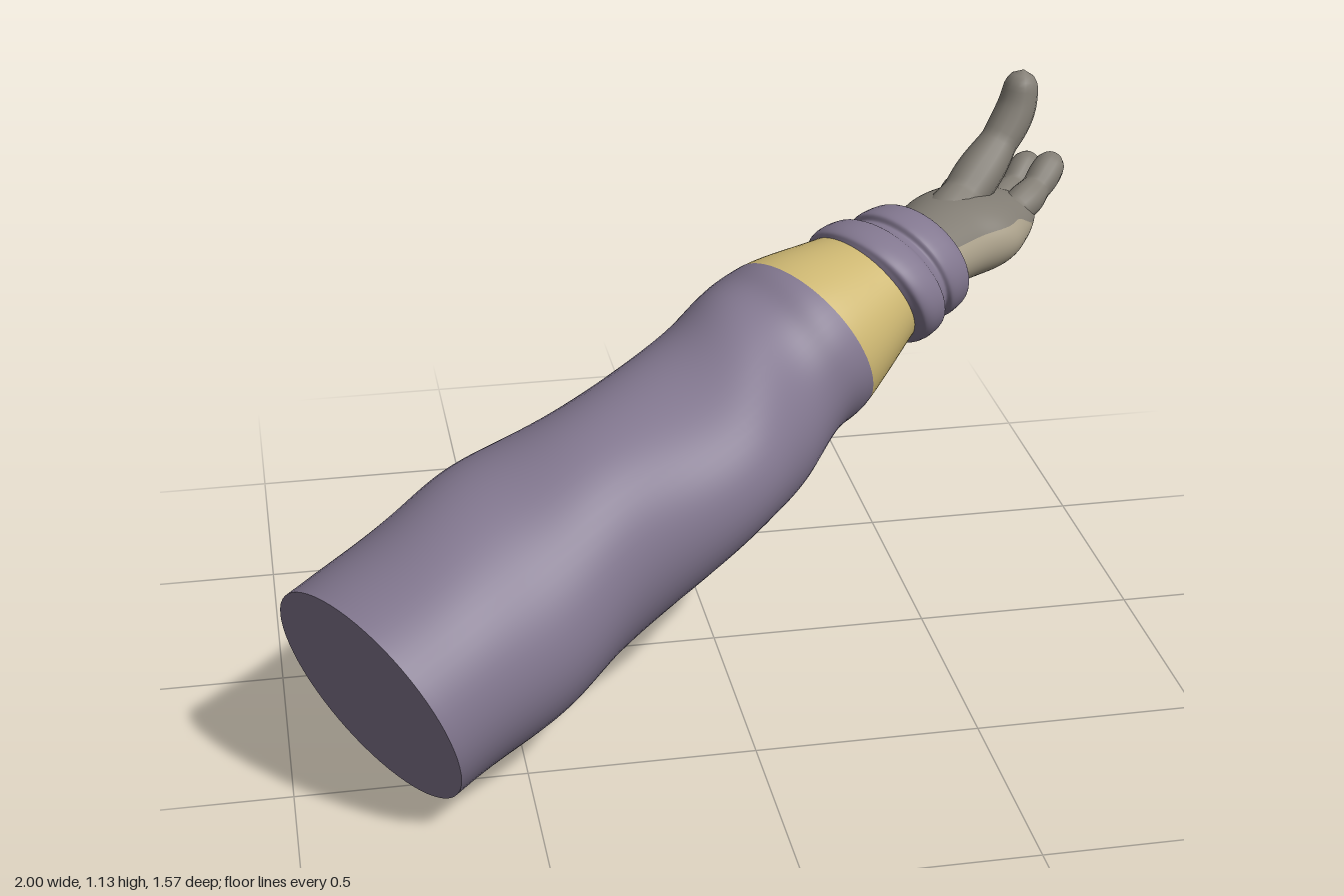
import * as THREE from 'three';
import { mergeVertices } from 'three/addons/utils/BufferGeometryUtils.js';

const V = (x, y, z) => new THREE.Vector3(x, y, z);
const material = (name, color) => {
  const m = new THREE.MeshStandardMaterial({ color });
  m.name = name;
  return m;
};

// Skin through elliptical sections [x, y, z, halfWidth, halfHeight, lean].
// lean slides the top back and the bottom forward along the path;
// t0..t1 picks a stretch of the path, arc(section) an angular range.
function loft(secs, { side, up, t0 = 0, t1 = 1, nu = 40, nv = 48, arc, ripple, grow = 0, capStart, capEnd }) {
  const path = new THREE.CatmullRomCurve3(secs.map(s => V(s[0], s[1], s[2])), false, 'catmullrom', 0.5);
  const size = new THREE.CatmullRomCurve3(secs.map(s => V(s[3], s[4], s[5] ?? 0)), false, 'catmullrom', 0.5);
  const back = side.clone().cross(up);
  const pos = [], idx = [], closed = !arc, cols = closed ? nv : nv + 1;
  const rings = [];
  for (let i = 0; i <= nu; i++) {
    const t = t0 + (t1 - t0) * i / nu;
    const c = path.getPoint(t), r = size.getPoint(t);
    const [a0, a1] = arc ? arc(c, r) : [0, Math.PI * 2];
    const ring = [];
    for (let j = 0; j < cols; j++) {
      const a = a0 + (a1 - a0) * j / nv;
      const d = grow + (ripple ? ripple(t, a) : 0);
      const p = c.clone()
        .addScaledVector(side, Math.cos(a) * (r.x + d))
        .addScaledVector(up, Math.sin(a) * (r.y + d))
        .addScaledVector(back, Math.sin(a) * r.z);
      ring.push(p);
      pos.push(p.x, p.y, p.z);
    }
    rings.push({ c, ring });
  }
  for (let i = 0; i < nu; i++) for (let j = 0; j < nv; j++) {
    const k = (j + 1) % cols, a = i * cols + j, b = i * cols + k;
    idx.push(a, a + cols, b, b, a + cols, b + cols);
  }
  // Flat end discs with their own vertices
  const cap = ({ c, ring }, flip) => {
    const base = pos.length / 3;
    pos.push(c.x, c.y, c.z);
    ring.forEach(p => pos.push(p.x, p.y, p.z));
    for (let j = 0; j < cols; j++) {
      const a = base + 1 + j, b = base + 1 + (j + 1) % cols;
      idx.push(base, flip ? b : a, flip ? a : b);
    }
  };
  if (capStart) cap(rings[0], false);
  if (capEnd) cap(rings[nu], true);
  const g = new THREE.BufferGeometry();
  g.setAttribute('position', new THREE.Float32BufferAttribute(pos, 3));
  g.setIndex(idx);
  g.computeVertexNormals();
  return g;
}

// Tapered digit with swollen joints and a rounded tip
function digit(points, r0, r1) {
  const curve = new THREE.CatmullRomCurve3(points.map(p => V(...p)));
  const n = 36, sides = 14, round = r1 / curve.getLength();
  let g = new THREE.TubeGeometry(curve, n, 1, sides);
  const p = g.attributes.position, v = V(0, 0, 0);
  for (let i = 0; i <= n; i++) {
    const t = i / n, c = curve.getPointAt(t);
    let r = THREE.MathUtils.lerp(r0, r1, t) * (0.92 + 0.13 * Math.abs(Math.cos(t * Math.PI * 2.6)));
    const e = Math.max(0, (t - 1 + round) / round);
    r *= Math.sqrt(Math.max(0.0004, 1 - e * e));
    for (let j = 0; j <= sides; j++) {
      const k = i * (sides + 1) + j;
      v.fromBufferAttribute(p, k).sub(c).multiplyScalar(r).add(c);
      p.setXYZ(k, v.x, v.y, v.z);
    }
  }
  g.deleteAttribute('uv');
  g.deleteAttribute('normal');
  g = mergeVertices(g, 1e-5);
  g.computeVertexNormals();
  return g;
}

export function createModel() {
  const purple = material('purple cloth', 0x82778f);
  const yellow = material('yellow band', 0xcdb772);
  const grey = material('grey glove', 0x827d74);
  const tan = material('tan glove back', 0xaaa08a);
  const model = new THREE.Group();
  model.name = 'arm';
  const add = (name, geometry, mat, parent = model) => {
    const mesh = new THREE.Mesh(geometry, mat);
    mesh.name = name;
    parent.add(mesh);
    return mesh;
  };

  // Sleeve and band share one set of sections
  const armFrame = { side: V(0.525, 0, 0.85), up: V(-0.264, 0.95, 0.163) };
  const arm = [
    [-0.83, 0.247, 0.527, 0.292, 0.259],
    [-0.59, 0.342, 0.388, 0.29, 0.262],
    [-0.35, 0.437, 0.225, 0.285, 0.248],
    [-0.045, 0.545, 0.065, 0.25, 0.218],
    [0.125, 0.625, -0.105, 0.237, 0.21, 0.008],
    [0.235, 0.683, -0.163, 0.222, 0.204, 0.015],
    [0.395, 0.755, -0.245, 0.168, 0.146, 0.015],
  ];
  // Slanting cloth folds, fading out at both ends
  const folds = (t, a) => Math.sin(Math.PI * Math.min(1, t / 0.84)) *
    (0.007 * Math.sin(2 * a + t * 17) + 0.006 * Math.sin(3 * a - t * 26 + 1));
  const band = 5 / 6;
  add('sleeve', loft(arm, { ...armFrame, t1: band, nu: 70, nv: 64, ripple: folds, capStart: true }), purple);
  add('sleeveBand', loft(arm, { ...armFrame, t0: band, nu: 14, nv: 64, ripple: (t, a) => folds(band, a) * (1 - t) * 6 }), yellow);

  // Two rolled cuff rings
  const cuffAt = (f, w, h) => [0.395 + 0.18 * f, 0.757 + 0.03 * f, -0.235 - 0.13 * f, w, h, 0.015 * (1 - f)];
  const cuff = [
    cuffAt(-0.05, 0.15, 0.125), cuffAt(0, 0.168, 0.146), cuffAt(0.05, 0.186, 0.158), cuffAt(0.18, 0.192, 0.162),
    cuffAt(0.36, 0.186, 0.156), cuffAt(0.45, 0.166, 0.14), cuffAt(0.54, 0.156, 0.132), cuffAt(0.6, 0.165, 0.146),
    cuffAt(0.72, 0.166, 0.147), cuffAt(0.88, 0.16, 0.141), cuffAt(0.97, 0.146, 0.126),
    cuffAt(0.99, 0.13, 0.108), cuffAt(0.94, 0.1, 0.085),
  ];
  add('cuff', loft(cuff, { ...armFrame, nu: 72, capEnd: true }), purple);

  // Open hand, palm up: tan shell below the seam, grey above
  const hand = new THREE.Group();
  hand.name = 'hand';
  model.add(hand);
  const handFrame = { side: V(0.77, 0, 0.64), up: V(0, 1, 0) };
  const palm = [
    [0.55, 0.785, -0.33, 0.11, 0.09],
    [0.62, 0.785, -0.41, 0.128, 0.096],
    [0.69, 0.785, -0.48, 0.153, 0.097],
    [0.75, 0.78, -0.56, 0.145, 0.086],
    [0.80, 0.78, -0.62, 0.125, 0.062],
    [0.83, 0.787, -0.655, 0.105, 0.036],
  ];
  // Level seam that drops to the sides of the hand at the knuckles
  const seam = (c, r) => Math.asin(Math.min((0.828 - c.y) / r.y, 0.5)) *
    THREE.MathUtils.smoothstep(c.z, -0.62, -0.5);
  add('palm', loft(palm, { ...handFrame, arc: (c, r) => [seam(c, r), Math.PI - seam(c, r)], capEnd: true }), grey, hand);
  add('backOfHand', loft(palm, { ...handFrame, arc: (c, r) => [-Math.PI - seam(c, r), seam(c, r)], capEnd: true }), tan, hand);
  // Cloth patch on the back of the hand
  add('wristPatch', loft(palm, {
    ...handFrame, t0: 0.16, t1: 0.5, nu: 10, nv: 14, grow: 0.005,
    arc: () => [-Math.PI / 2 - 0.68, -Math.PI / 2 + 0.68],
  }), purple, hand);

  // Fingers: root, middle, tip
  const fingers = {
    littleFinger: [[0.69, 0.77, -0.62], [0.73, 0.768, -0.69], [0.765, 0.815, -0.757]],
    ringFinger: [[0.75, 0.778, -0.61], [0.81, 0.787, -0.705], [0.862, 0.85, -0.775]],
    middleFinger: [[0.79, 0.788, -0.58], [0.88, 0.807, -0.68], [0.948, 0.868, -0.752]],
    indexFinger: [[0.81, 0.79, -0.52], [0.905, 0.825, -0.598], [0.985, 0.893, -0.67]],
  };
  for (const [name, pts] of Object.entries(fingers)) add(name, digit(pts, 0.044, 0.036), grey, hand);
  add('thumb', digit([
    [0.65, 0.82, -0.46], [0.73, 0.885, -0.53], [0.805, 0.96, -0.583], [0.858, 1.04, -0.613], [0.876, 1.135, -0.622],
  ], 0.063, 0.041), grey, hand);

  return model;
}
